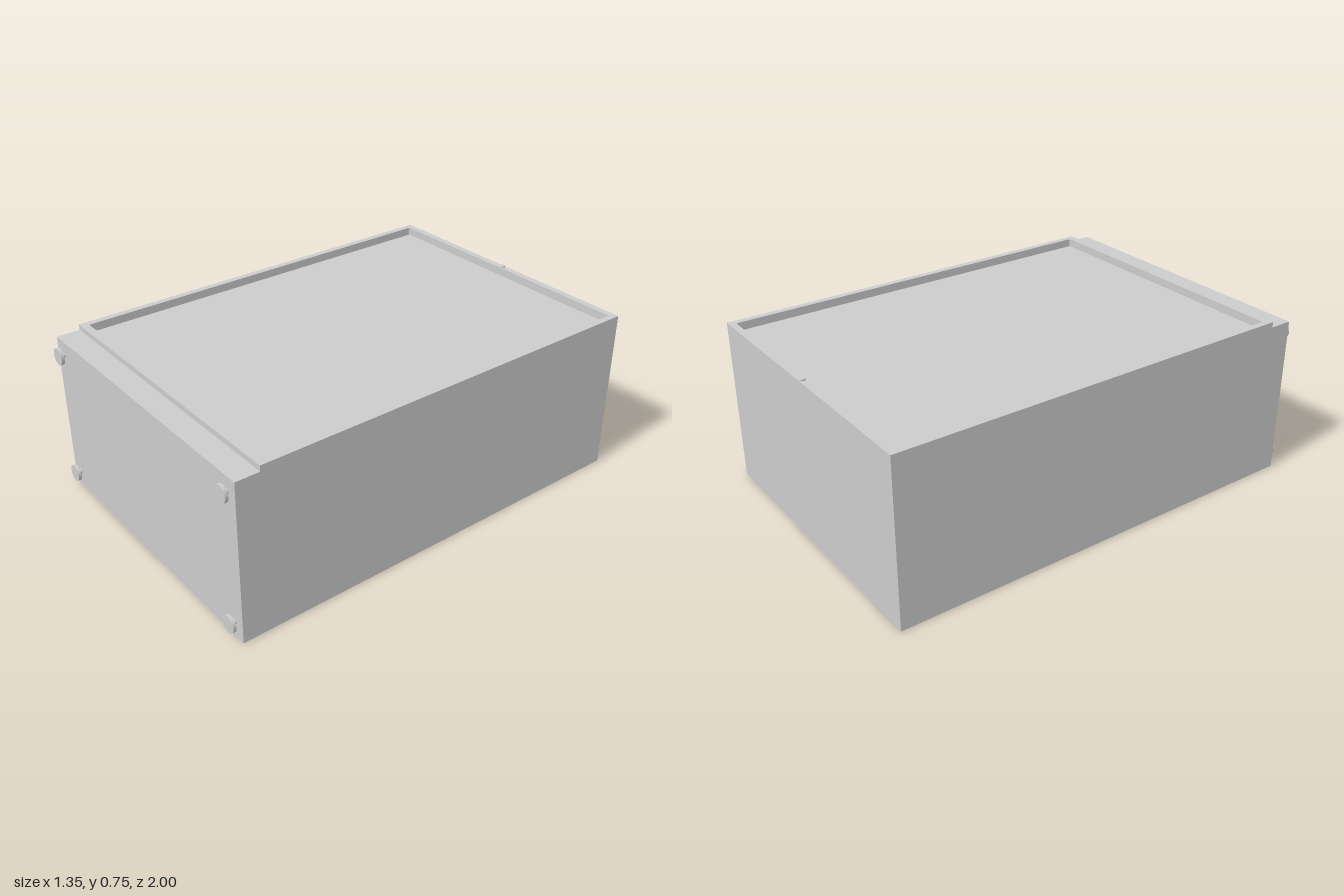
import * as THREE from 'three';

const material = new THREE.MeshStandardMaterial({ color: 0xcccccc });

const HALF_W = 0.677, BACK = -1, FRONT = 0.97, STEP = 0.865;
const FLOOR = 0.708, LEDGE = 0.72, TOP = 0.745;

function add(parent, name, geometry, x = 0, y = 0, z = 0) {
  const mesh = new THREE.Mesh(geometry, material);
  mesh.name = name;
  mesh.position.set(x, y, z);
  parent.add(mesh);
  return mesh;
}

// Rectangle outline with optional rounded corners
function rectangle(path, x0, y0, x1, y1, r = 0) {
  if (!r) {
    path.moveTo(x0, y0).lineTo(x1, y0).lineTo(x1, y1).lineTo(x0, y1).closePath();
    return path;
  }
  path.absarc(x1 - r, y0 + r, r, -Math.PI / 2, 0);
  path.absarc(x1 - r, y1 - r, r, 0, Math.PI / 2);
  path.absarc(x0 + r, y1 - r, r, Math.PI / 2, Math.PI);
  path.absarc(x0 + r, y0 + r, r, Math.PI, Math.PI * 1.5);
  path.closePath();
  return path;
}

// Foot pointing along +z: thin stem with a flat round pad
function createFoot(x, y) {
  const foot = new THREE.Group();
  foot.name = 'foot';
  const profile = [[0, 0], [0.012, 0], [0.012, 0.016], [0.037, 0.016], [0.037, 0.03], [0, 0.03]];
  // Each profile segment is its own band so that the edges stay sharp
  for (let i = 1; i < profile.length; i++) {
    const band = profile.slice(i - 1, i + 1).map(([r, h]) => new THREE.Vector2(r, h));
    add(foot, 'footBand', new THREE.LatheGeometry(band, 40));
  }
  foot.rotation.x = Math.PI / 2;
  foot.position.set(x, y, FRONT);
  return foot;
}

export function createModel() {
  const model = new THREE.Group();
  model.name = 'cabinet';

  // Main case: side profile with the raised front ledge, extruded across x
  const side = new THREE.Shape([
    [BACK, 0], [FRONT, 0], [FRONT, LEDGE], [STEP, LEDGE], [STEP, FLOOR], [BACK, FLOOR],
  ].map(([z, y]) => new THREE.Vector2(-z, y)));
  const body = new THREE.ExtrudeGeometry(side, { depth: HALF_W * 2, bevelEnabled: false });
  body.rotateY(Math.PI / 2).translate(-HALF_W, 0, 0);
  add(model, 'case', body);

  // Raised rim around the recessed top panel
  const rim = rectangle(new THREE.Shape(), -HALF_W, -STEP, HALF_W, -BACK);
  rim.holes.push(rectangle(new THREE.Path(), -0.648, -0.832, 0.648, 0.97, 0.008));
  const rimGeometry = new THREE.ExtrudeGeometry(rim, {
    depth: TOP - FLOOR, bevelEnabled: false, curveSegments: 6,
  });
  rimGeometry.rotateX(-Math.PI / 2);
  add(model, 'topRim', rimGeometry, 0, FLOOR, 0);

  // Small stud at the middle of the rear rim
  add(model, 'rearStud', new THREE.CylinderGeometry(0.011, 0.011, 0.016, 24), 0, TOP, -0.985);

  // Four feet on the front face
  for (const x of [-0.623, 0.623]) {
    for (const y of [0.07, 0.656]) model.add(createFoot(x, y));
  }

  return model;
}
